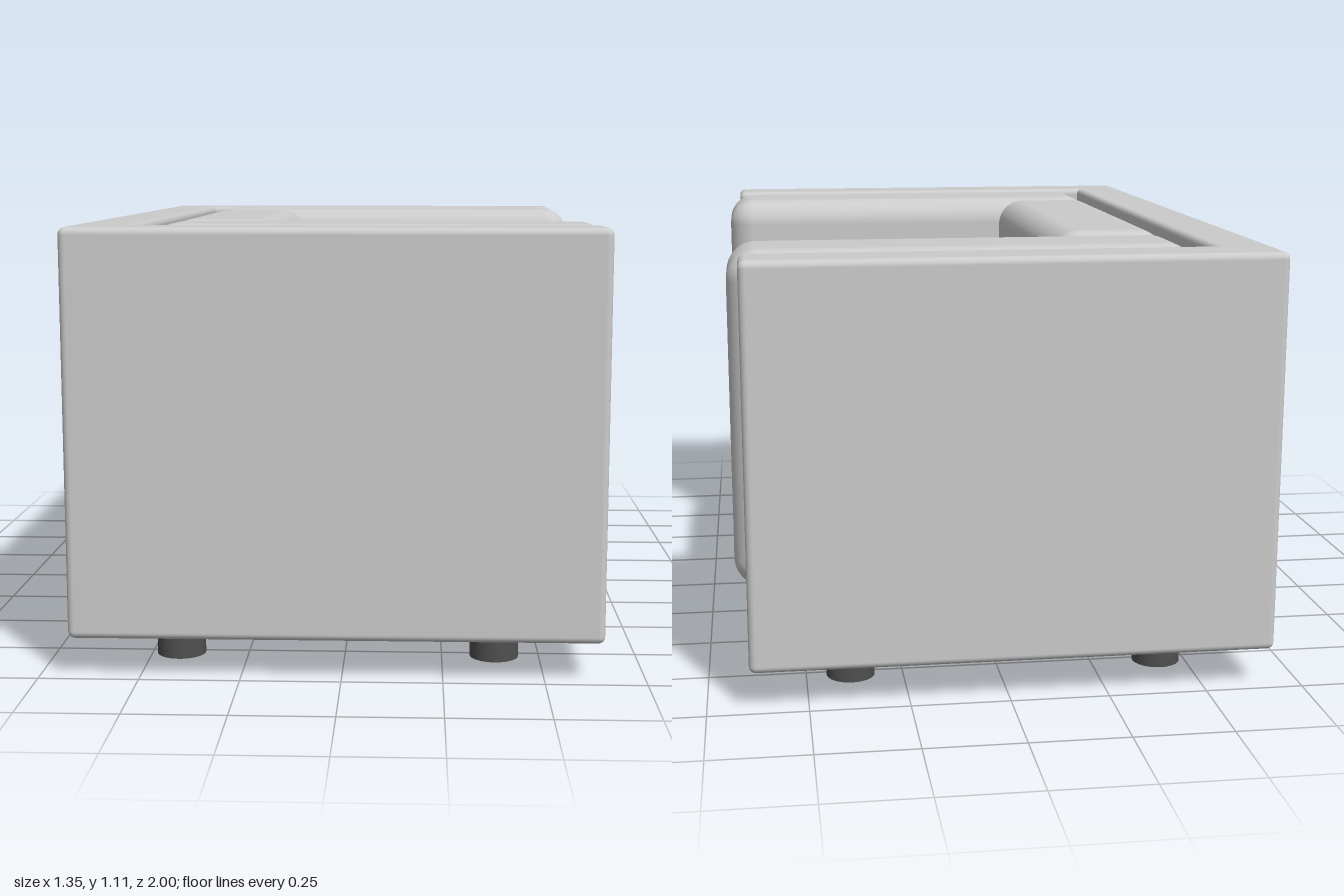
import * as THREE from 'three';
import { RoundedBoxGeometry } from 'three/addons/geometries/RoundedBoxGeometry.js';

const fabric = new THREE.MeshStandardMaterial({ color: 0xcccccc });
const dark = new THREE.MeshStandardMaterial({ color: 0x505050 });

// Rounded block given by its extents [min, max] on each axis
function block(name, [x0, x1], [y0, y1], [z0, z1], radius, segments) {
  const geometry = new RoundedBoxGeometry(x1 - x0, y1 - y0, z1 - z0, segments, radius);
  const mesh = new THREE.Mesh(geometry, fabric);
  mesh.position.set((x0 + x1) / 2, (y0 + y1) / 2, (z0 + z1) / 2);
  mesh.name = name;
  return mesh;
}

// Short hollow-ended foot; each profile segment keeps its own normals for crisp edges
function createLeg(x, z) {
  const leg = new THREE.Group();
  const profile = [[0, 0.03], [0.043, 0.03], [0.043, 0], [0.0625, 0], [0.0625, 0.11]];
  for (let i = 0; i < profile.length - 1; i++) {
    const points = [profile[i], profile[i + 1]].map(([r, y]) => new THREE.Vector2(r, y));
    const part = new THREE.Mesh(new THREE.LatheGeometry(points, 32), dark);
    part.name = 'legSurface';
    leg.add(part);
  }
  // Small fixing stud beside the foot
  const stud = new THREE.Mesh(new THREE.CylinderGeometry(0.016, 0.016, 0.02, 16), dark);
  stud.name = 'legStud';
  stud.position.set(0.036, 0.095, -Math.sign(z) * 0.064);
  leg.add(stud);
  leg.position.set(x, 0, z);
  leg.name = 'leg';
  return leg;
}

export function createModel() {
  const model = new THREE.Group();
  model.name = 'armchair';

  // Outer shell: base, back and two side panels
  const shell = new THREE.Group();
  shell.name = 'shell';
  const depth = [-0.675, 0.645], height = [0.1, 1.11], edge = 0.018;
  shell.add(
    block('base', depth, [0.1, 0.25], [-1, 1], edge, 4),
    block('backPanel', [-0.675, -0.525], height, [-1, 1], edge, 4),
    block('leftSidePanel', depth, height, [0.845, 1], edge, 4),
    block('rightSidePanel', depth, height, [-1, -0.845], edge, 4),
  );
  model.add(shell);

  // Loose cushions
  const cushions = new THREE.Group();
  cushions.name = 'cushions';
  const r = 0.075;
  cushions.add(
    block('leftArmCushion', [-0.5, 0.675], [0.25, 1.11], [0.5, 0.808], r, 8),
    block('rightArmCushion', [-0.5, 0.675], [0.25, 1.11], [-0.835, -0.527], r, 8),
    block('seatCushion', [-0.5, 0.675], [0.25, 0.565], [-0.525, 0.5], r, 8),
    block('backCushion', [-0.5, -0.185], [0.565, 1.11], [-0.525, 0.5], r, 8),
  );
  model.add(cushions);

  // Four feet
  for (const x of [-0.425, 0.385])
    for (const z of [-0.768, 0.768]) model.add(createLeg(x, z));

  return model;
}
